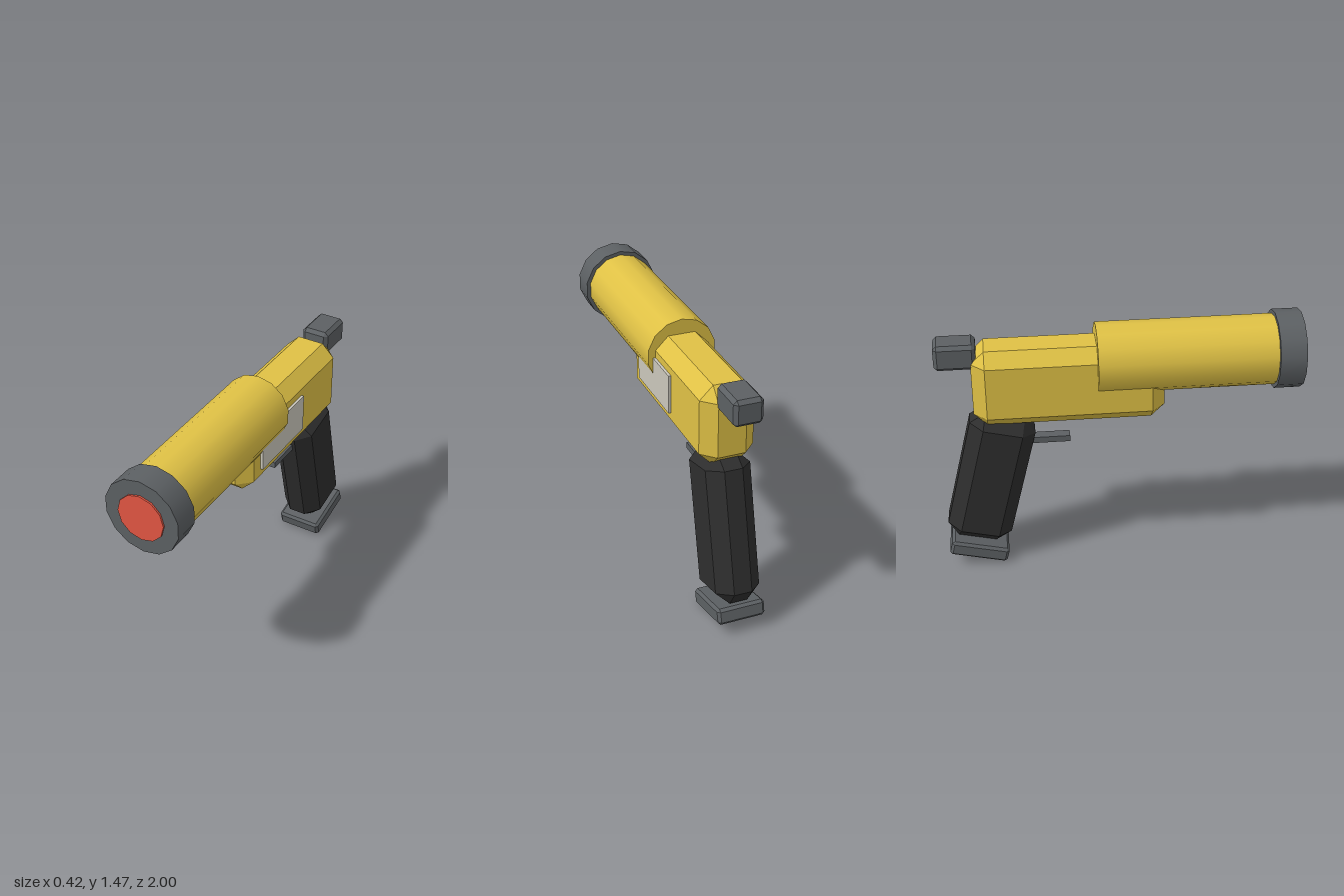
import * as THREE from 'three';
import { ConvexGeometry } from 'three/addons/geometries/ConvexGeometry.js';

const YELLOW = 0xdfc145, GREY = 0x5c6063, DARK = 0x2e2e2e, RED = 0xe25642, PALE = 0xcac7bb;
const AXIS_Y = 1.25; // height of the barrel axis
const TILT = 0.24; // lean of the grip

export function createModel() {
  const group = new THREE.Group();

  function add(name, geometry, color, position, flatShading = true) {
    const mesh = new THREE.Mesh(geometry, new THREE.MeshStandardMaterial({ color, flatShading }));
    mesh.name = name;
    mesh.position.set(...position);
    group.add(mesh);
    return mesh;
  }

  // Box with every edge cut at 45 degrees by c
  function chamferBox(w, h, d, c) {
    const half = [w / 2, h / 2, d / 2];
    const points = [];
    for (const sx of [-1, 1]) for (const sy of [-1, 1]) for (const sz of [-1, 1]) {
      for (let face = 0; face < 3; face++) {
        const p = half.map((v, i) => (i === face ? v : v - c));
        points.push(new THREE.Vector3(p[0] * sx, p[1] * sy, p[2] * sz));
      }
    }
    return new ConvexGeometry(points);
  }

  // Cylinder along z between two depths, on the barrel axis
  function tube(name, radius, back, front, sides, color) {
    const geometry = new THREE.CylinderGeometry(radius, radius, front - back, sides).rotateX(Math.PI / 2);
    return add(name, geometry, color, [0, AXIS_Y, (front + back) / 2], false);
  }

  // Barrel with its muzzle ring and red lens
  tube('barrel', 0.195, -0.13, 0.86, 14, YELLOW);
  tube('muzzleRing', 0.217, 0.845, 0.99, 14, GREY);
  tube('muzzleLens', 0.134, 0.95, 1.0, 12, RED);

  // Body, side plate and rear knob
  add('body', chamferBox(0.3, 0.45, 1.045, 0.073), YELLOW, [0, 1.135, -0.2825]);
  add('sidePlate', new THREE.BoxGeometry(0.03, 0.22, 0.45), PALE, [0.15, 1.135, -0.13]);
  add('rearKnob', chamferBox(0.16, 0.145, 0.225, 0.02), GREY, [0, 1.323, -0.8865]);

  // Leaning grip with its foot, and the trigger
  add('grip', chamferBox(0.25, 0.83, 0.37, 0.075), DARK, [0, 0.538, -0.734]).rotation.x = TILT;
  add('gripFoot', chamferBox(0.268, 0.09, 0.335, 0.015), GREY, [0, 0.081, -0.825]).rotation.x = TILT;
  add('trigger', new THREE.BoxGeometry(0.06, 0.036, 0.26), GREY, [0, 0.762, -0.41]);

  return group;
}
